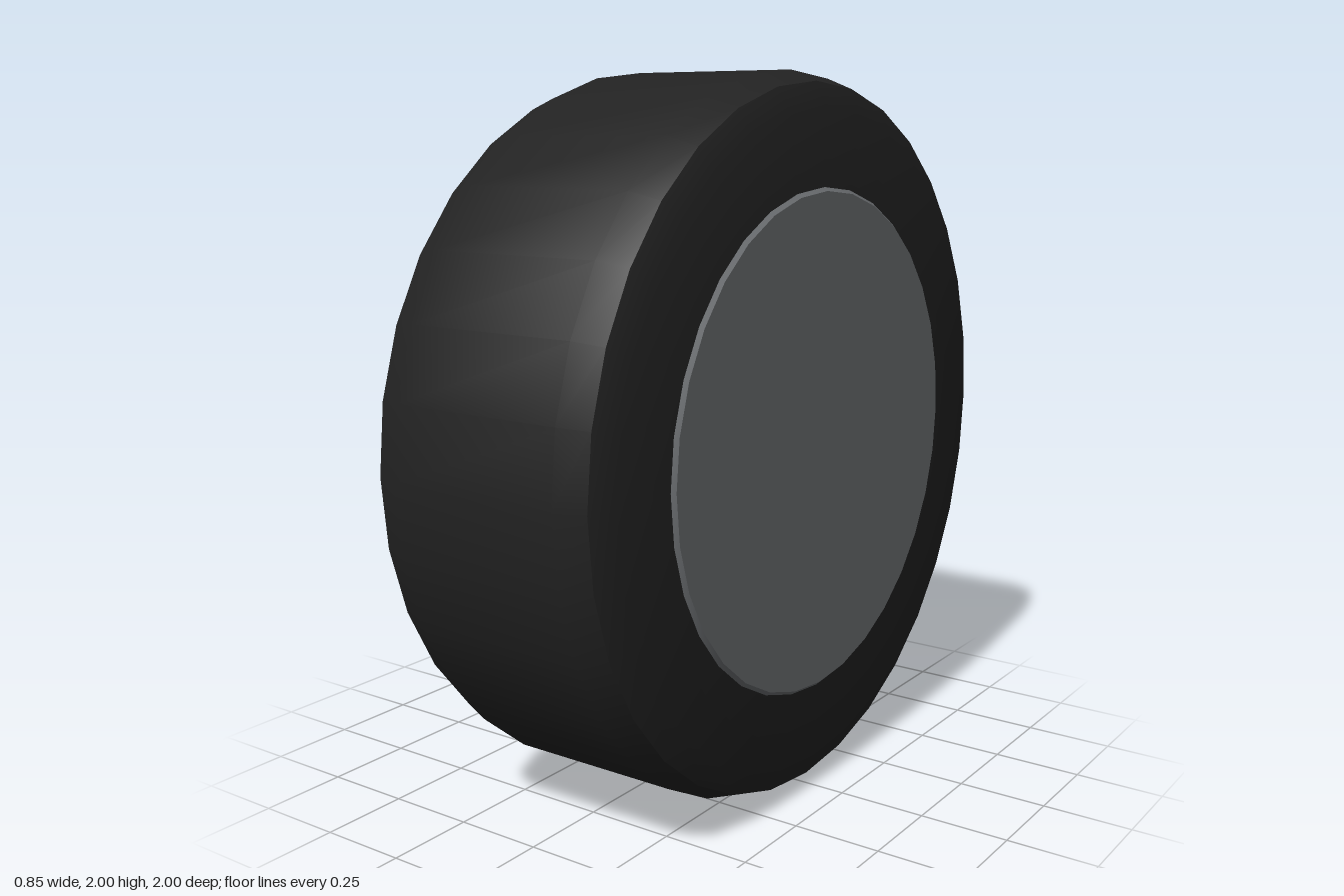
import * as THREE from 'three';
import { toCreasedNormals } from 'three/addons/utils/BufferGeometryUtils.js';

const SIDES = 32;

const rubber = new THREE.MeshStandardMaterial({ color: 0x222222 });
rubber.name = 'black rubber';
const alloy = new THREE.MeshStandardMaterial({ color: 0x6c6f72 });
alloy.name = 'grey alloy';
const steel = new THREE.MeshStandardMaterial({ color: 0x9a9c9f });
steel.name = 'light steel';

// Turned part around the x axis; profile is [x, radius] from right to left (-x to +x)
function turned(name, profile, material, sides = SIDES) {
  const points = profile.map(([x, r]) => new THREE.Vector2(r, x));
  const geometry = new THREE.LatheGeometry(points, sides);
  geometry.rotateZ(-Math.PI / 2);
  const mesh = new THREE.Mesh(toCreasedNormals(geometry, 0.45), material);
  mesh.name = name;
  return mesh;
}

export function createModel() {
  const model = new THREE.Group();
  model.name = 'wheel';

  const parts = new THREE.Group();
  parts.name = 'wheelParts';
  parts.position.y = 1;
  model.add(parts);

  // Tyre with chamfered shoulders
  parts.add(turned('tyre', [
    [-0.31, 0.5], [-0.31, 0.9], [-0.28, 0.97], [-0.2, 1],
    [0.3, 1], [0.38, 0.97], [0.41, 0.9], [0.41, 0.5],
  ], rubber));

  // Rim drum, closed by a plain disc on the inner side
  parts.add(turned('rim', [
    [-0.325, 0], [-0.325, 0.685], [-0.315, 0.695],
    [0.41, 0.695], [0.42, 0.685], [0.42, 0],
  ], alloy));

  // Dark disc behind the spokes
  parts.add(turned('backingDisc', [
    [-0.32, 0.6], [-0.32, 0.6], [-0.345, 0.6], [-0.345, 0],
  ].slice(1).reverse(), rubber));

  // Hub, flaring outward to its face
  parts.add(turned('hub', [
    [-0.422, 0], [-0.422, 0.185], [-0.38, 0.155], [-0.33, 0.14],
  ], steel));

  // Five faceted spokes
  const inner = 0.09, outer = 0.66;
  const bar = new THREE.CylinderGeometry(0.092, 0.092, outer - inner, 8);
  bar.translate(-0.336, (inner + outer) / 2, 0);
  const spokeGeometry = toCreasedNormals(bar, 0.3);
  for (let i = 0; i < 5; i++) {
    const spoke = new THREE.Mesh(spokeGeometry, alloy);
    spoke.name = `spoke${i + 1}`;
    spoke.rotation.x = (i * Math.PI * 2) / 5;
    parts.add(spoke);
  }

  return model;
}
